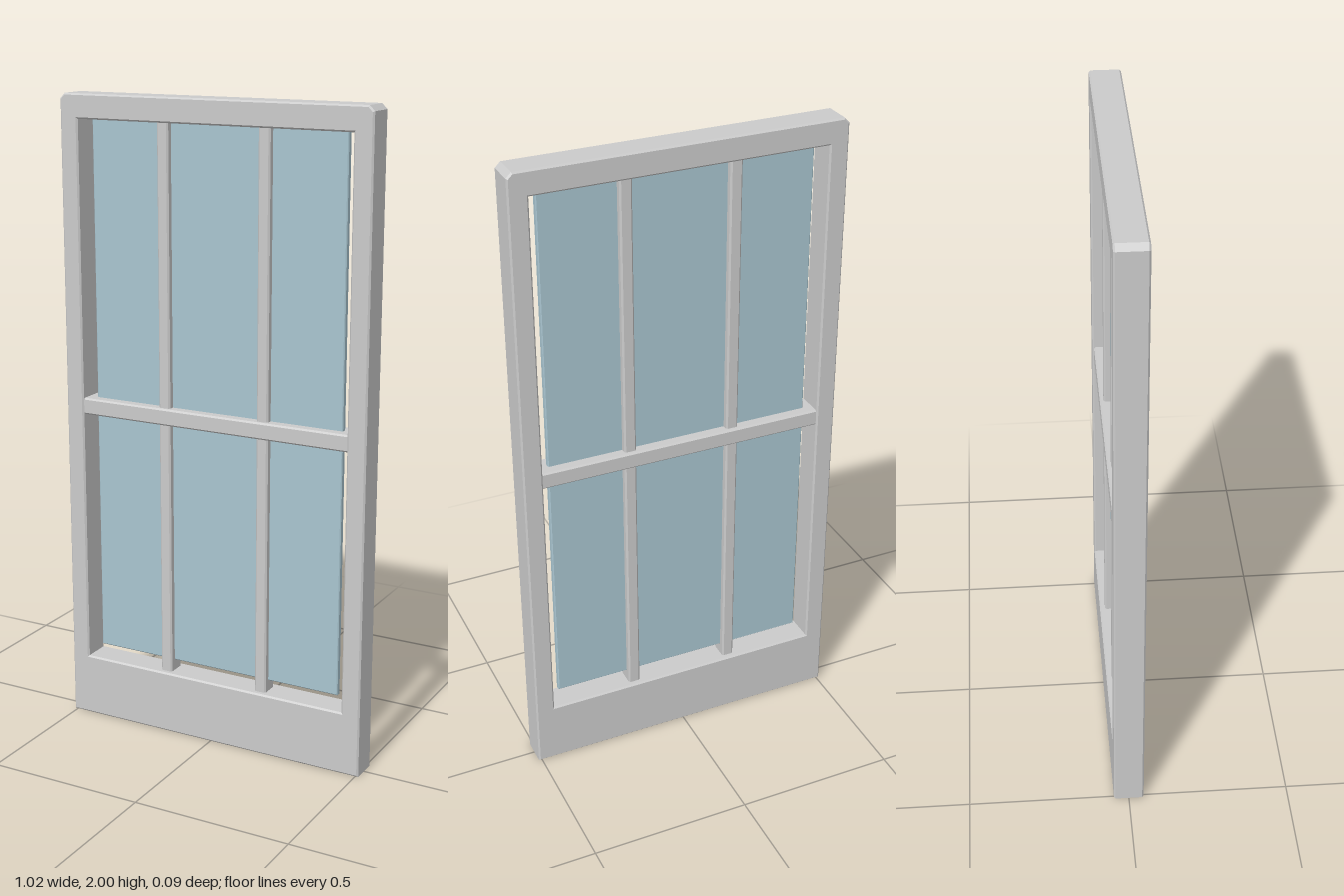
import * as THREE from 'three';

const frameMat = new THREE.MeshStandardMaterial({ color: 0xcccccc, flatShading: true });
const glassMat = new THREE.MeshStandardMaterial({ color: 0xa9c5d0, flatShading: true });

const rect = (x0, x1, y0, y1) =>
  [[x0, y0], [x1, y0], [x1, y1], [x0, y1]].map(([x, y]) => new THREE.Vector2(x, y));

// Extrudes a shape to +/- half depth with a small chamfer inside its outline
function slab(name, shape, halfDepth, bevel, material) {
  const geometry = new THREE.ExtrudeGeometry(shape, {
    depth: 2 * (halfDepth - bevel), bevelEnabled: true, bevelSegments: 1,
    bevelSize: bevel, bevelThickness: bevel, bevelOffset: -bevel,
  });
  geometry.translate(0, 0, bevel - halfDepth);
  const mesh = new THREE.Mesh(geometry, material);
  mesh.name = name;
  return mesh;
}

export function createModel() {
  const group = new THREE.Group();
  group.name = 'window';

  // Frame: deep bottom rail, clipped top corners, one large opening
  const W = 0.51, H = 2, clip = 0.016;
  const outline = new THREE.Shape([
    [-W, 0], [W, 0], [W, H - clip], [W - clip, H], [-W + clip, H], [-W, H - clip],
  ].map(([x, y]) => new THREE.Vector2(x, y)));
  outline.holes.push(new THREE.Path(rect(-0.45, 0.45, 0.2, 1.925).reverse()));
  group.add(slab('frame', outline, 0.047, 0.005, frameMat));

  // Glass pane, tucked into the top rail and free at the sides and bottom
  group.add(slab('glassPane', new THREE.Shape(rect(-0.42, 0.42, 0.235, 1.94)), 0.01, 0.003, glassMat));

  // Vertical glazing bars
  for (const [name, x] of [['leftGlazingBar', 0.167], ['rightGlazingBar', -0.167]]) {
    group.add(slab(name, new THREE.Shape(rect(x - 0.019, x + 0.019, 0.195, 1.93)), 0.03, 0.005, frameMat));
  }

  // Horizontal meeting rail
  group.add(slab('meetingRail', new THREE.Shape(rect(-0.455, 0.455, 1.014, 1.066)), 0.042, 0.005, frameMat));

  return group;
}
